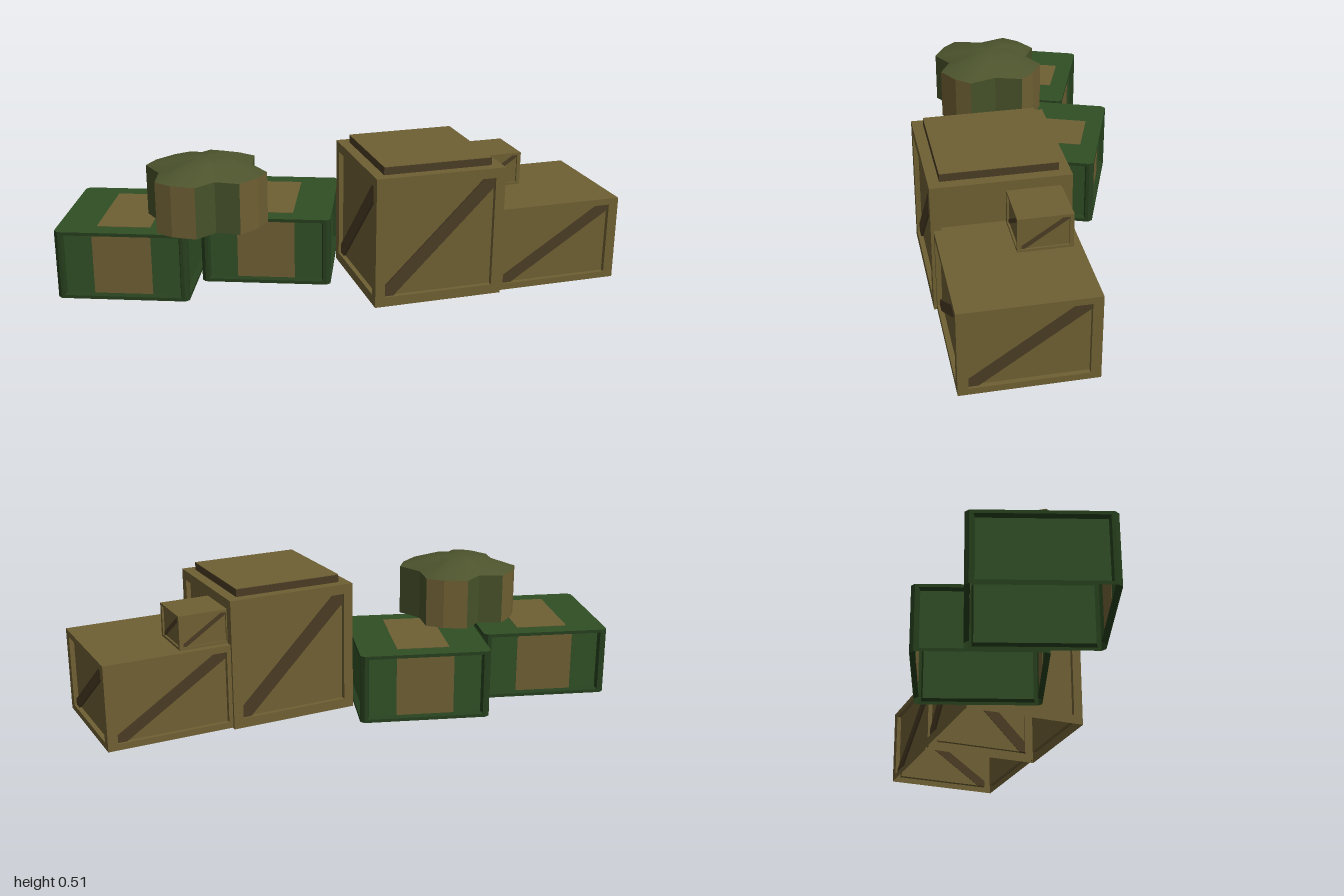
import * as THREE from 'three';

// The parts are thin open shells, so both sides show
const mat = (color) => new THREE.MeshStandardMaterial({ color, flatShading: true, side: THREE.DoubleSide });
const wood = mat(0x6e5f33), darkWood = mat(0x4a3c24), olive = mat(0x465129);
const green = mat(0x304f25), darkGreen = mat(0x263f1d);

function add(parent, name, geometry, material, x = 0, y = 0, z = 0) {
  const mesh = new THREE.Mesh(geometry, material);
  mesh.name = name;
  mesh.position.set(x, y, z);
  parent.add(mesh);
  return mesh;
}

const box = (w, h, d) => new THREE.BoxGeometry(w, h, d);
const plane = (w, h) => new THREE.PlaneGeometry(w, h);
const shapeOf = (points) => new THREE.Shape(points.map((p) => new THREE.Vector2(...p)));

function surface(pos, index) {
  const g = new THREE.BufferGeometry();
  g.setAttribute('position', new THREE.Float32BufferAttribute(pos, 3));
  g.setIndex(index);
  g.computeVertexNormals();
  return g;
}

// Rim of a panel: a flat border, then a wall leading back to the recess
function rimGeometry(w, h, bx, by, slope, depth) {
  const a = w / 2, b = h / 2, pos = [], index = [];
  for (const [p, q, z] of [[a, b, 0], [a - bx, b - by, 0], [a - bx - slope, b - by - slope, -depth]]) {
    pos.push(-p, -q, z, p, -q, z, p, q, z, -p, q, z);
  }
  for (let ring = 0; ring < 8; ring += 4) {
    for (let i = 0; i < 4; i++) {
      const j = (i + 1) % 4;
      index.push(ring + i, ring + j, ring + 4 + j, ring + i, ring + 4 + j, ring + 4 + i);
    }
  }
  return surface(pos, index);
}

// Diagonal bar running corner to corner inside a w x h opening
function barGeometry(w, h, tx, ty, depth) {
  const a = w / 2, b = h / 2;
  const shape = shapeOf([[-a, -b], [-a + tx, -b], [a, b - ty], [a, b], [a - tx, b], [-a, -b + ty]]);
  return new THREE.ExtrudeGeometry(shape, { depth, bevelEnabled: false });
}

// Calls build(face, width, turn) for the four sides; each face group points outward
function eachSide(parent, w, d, build) {
  ['front', 'left', 'back', 'right'].forEach((name, turn) => {
    const face = new THREE.Group();
    face.name = name + 'Face';
    face.rotation.y = turn * Math.PI / 2;
    face.translateZ((turn % 2 ? w : d) / 2);
    parent.add(face);
    build(face, turn % 2 ? d : w, turn);
  });
}

// Wooden crate, open below, with braced sides and proportional borders
function woodCrate(name, [x0, x1], [y0, y1], [z0, z1]) {
  const w = x1 - x0, h = y1 - y0, d = z1 - z0;
  const border = 0.075, bar = 0.073, depth = 0.036 * w;
  const crate = new THREE.Group();
  crate.name = name;
  crate.position.set((x0 + x1) / 2, (y0 + y1) / 2, (z0 + z1) / 2);
  add(crate, 'top', plane(w, d), wood, 0, h / 2).rotation.x = -Math.PI / 2;
  eachSide(crate, w, d, (face, fw) => {
    const bx = border * fw, by = border * h;
    add(face, 'rim', rimGeometry(fw, h, bx, by, 0, depth), wood);
    add(face, 'panel', plane(fw - 2 * bx, h - 2 * by), wood, 0, 0, -depth);
    add(face, 'brace', barGeometry(fw - 2 * bx, h - 2 * by, bar * fw, bar * h, depth * 0.6), darkWood,
      0, 0, -depth - 0.002);
  });
  return crate;
}

// Painted crate, open below, with chamfered corners, recessed panels and a wide band
function paintedCrate(name, x, z) {
  const s = 0.474, h = 0.253, c = 0.014, border = 0.012, slope = 0.006, depth = 0.018;
  const a = s / 2, e = a - c;
  const crate = new THREE.Group();
  crate.name = name;
  crate.position.set(x, 0.01 + h / 2, z);
  crate.rotation.y = -0.355;
  const outline = shapeOf([[-e, -a], [e, -a], [a, -e], [a, e], [e, a], [-e, a], [-a, e], [-a, -e]]);
  add(crate, 'top', new THREE.ShapeGeometry(outline), green, 0, h / 2).rotation.x = -Math.PI / 2;
  add(crate, 'topBand', box(0.192, 0.003, s - 0.13), wood, 0, h / 2);
  for (let i = 0; i < 4; i++) {
    const angle = Math.PI / 4 + i * Math.PI / 2, r = (a + e) / Math.SQRT2;
    add(crate, 'cornerChamfer', plane(c * Math.SQRT2, h), darkGreen,
      Math.sin(angle) * r, 0, Math.cos(angle) * r).rotation.y = angle;
  }
  eachSide(crate, s, s, (face, fw, turn) => {
    const inner = 2 * (border + slope);
    add(face, 'rim', rimGeometry(fw - 2 * c, h, border, border, slope, depth), darkGreen);
    add(face, 'panel', plane(fw - 2 * c - inner, h - inner), green, 0, 0, -depth);
    if (turn % 2 === 0) add(face, 'band', box(0.21, h - inner, 0.003), wood, 0, 0, -depth);
  });
  return crate;
}

// Four-lobed drum, open below, with a sloping, smoothly shaded cap
function lobedDrum(x, z) {
  const drum = new THREE.Group();
  drum.name = 'lobedDrum';
  drum.position.set(x, 0, z);
  const y0 = 0.262, y1 = 0.45, y2 = 0.495;

  // Outline: half the lobes, then mirrored
  const half = [[0.17, 0], [0.2, 0.1], [0.155, 0.153], [0.078, 0.198],
    [0, 0.155], [-0.078, 0.198], [-0.155, 0.153], [-0.2, 0.1]];
  const ring = [...half, ...half.map(([a, b]) => [-a, -b])];
  const n = ring.length;

  // Side walls, with green strips at the notches
  ring.forEach(([ax, az], i) => {
    const [bx, bz] = ring[(i + 1) % n];
    const notch = i % 4 === 0 || i % 4 === 3;
    const wall = surface([ax, y0, az, bx, y0, bz, ax, y1, az, bx, y1, bz], [0, 2, 1, 1, 2, 3]);
    add(drum, 'wall', wall, notch ? olive : wood);
  });

  // Cap: rim, smaller upper ring and centre
  const pos = [], index = [];
  for (const [px, pz] of ring) pos.push(px, y1, pz);
  for (const [px, pz] of ring) pos.push(px * 0.46, y2 - 0.005, pz * 0.46);
  pos.push(0, y2, 0);
  for (let i = 0; i < n; i++) {
    const j = (i + 1) % n;
    index.push(i, n + i, j, j, n + i, n + j, n + i, 2 * n, n + j);
  }
  add(drum, 'cap', surface(pos, index), new THREE.MeshStandardMaterial({ color: 0x4d542d, side: THREE.DoubleSide }));
  return drum;
}

export function createModel() {
  const model = new THREE.Group();
  model.name = 'crateStack';

  // Wooden crates on the left
  const large = woodCrate('largeCrate', [0.064, 0.541], [0, 0.479], [-0.067, 0.41]);
  add(large, 'lid', box(0.4, 0.029, 0.4), darkWood, 0, 0.253, 0);
  add(large, 'lidTop', box(0.4, 0.002, 0.4), wood, 0, 0.268, 0);
  model.add(large);
  model.add(woodCrate('mediumCrate', [0.52, 1], [0.004, 0.316], [-0.057, 0.4]));
  model.add(woodCrate('smallCrate', [0.53, 0.718], [0.316, 0.44], [-0.03, 0.156]));

  // Painted crates and the drum bridging them on the right
  model.add(paintedCrate('outerPaintedCrate', -0.7, -0.11));
  model.add(paintedCrate('innerPaintedCrate', -0.177, -0.11));
  model.add(lobedDrum(-0.455, 0.042));
  return model;
}
